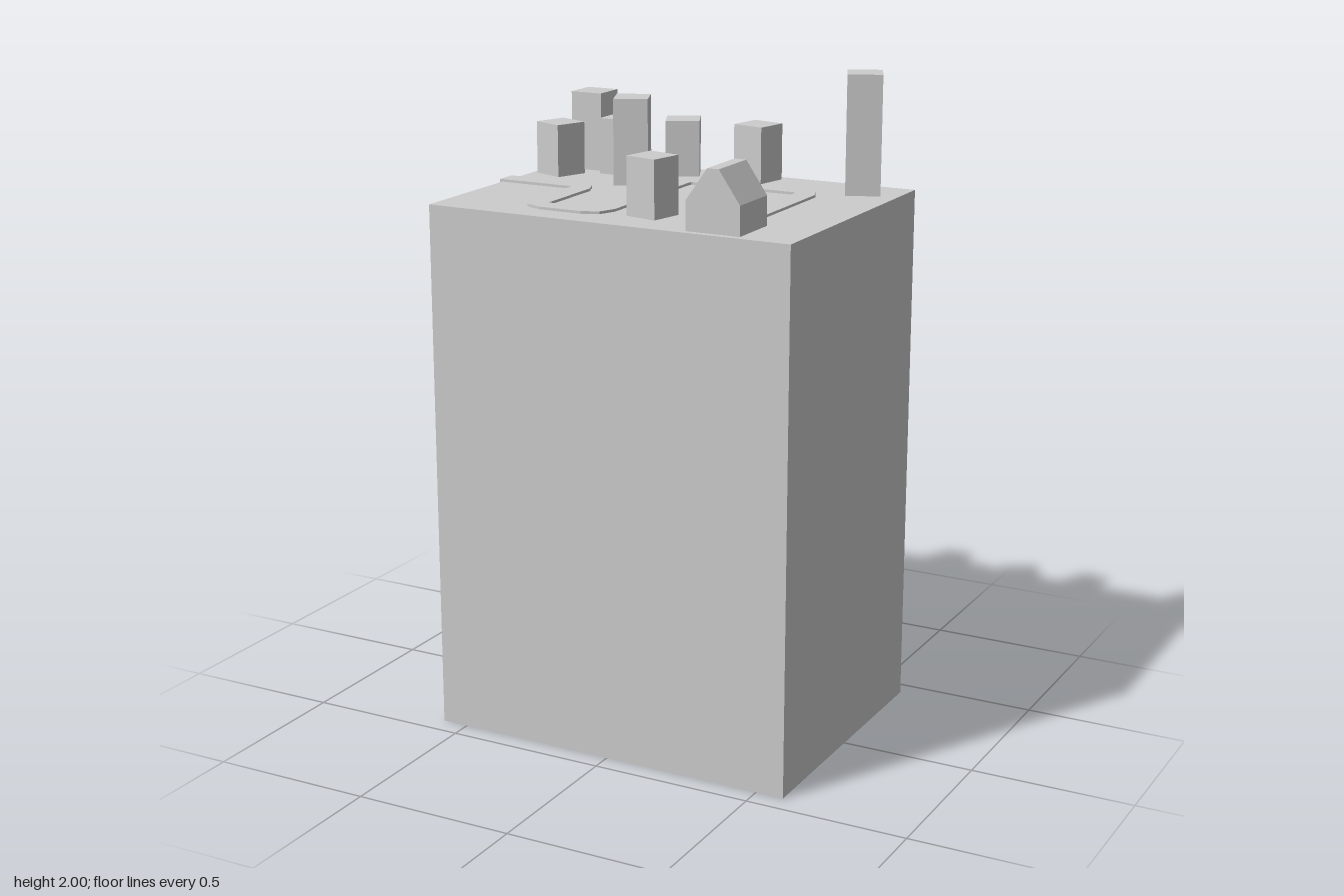
import * as THREE from 'three';

const GROUND = 1.638;

// Flat strip of constant width along a right-angled route, with rounded corners.
function roadShape(route, half, radius, steps) {
  const pts = route.map(([x, z]) => new THREE.Vector2(x, -z));
  const left = [], right = [];
  pts.forEach((p, i) => {
    const dIn = i > 0 ? p.clone().sub(pts[i - 1]).normalize() : null;
    const dOut = i < pts.length - 1 ? pts[i + 1].clone().sub(p).normalize() : null;
    if (!dIn || !dOut) {
      const d = dIn || dOut;
      const n = new THREE.Vector2(-d.y, d.x);
      left.push(p.clone().addScaledVector(n, half));
      right.push(p.clone().addScaledVector(n, -half));
      return;
    }
    const turn = Math.sign(dIn.cross(dOut));
    const c = p.clone().addScaledVector(dIn, -radius).addScaledVector(dOut, radius);
    for (let k = 0; k <= steps; k++) {
      const t = (k / steps) * Math.PI / 2;
      const u = dOut.clone().multiplyScalar(-Math.cos(t)).addScaledVector(dIn, Math.sin(t));
      left.push(c.clone().addScaledVector(u, radius - turn * half));
      right.push(c.clone().addScaledVector(u, radius + turn * half));
    }
  });
  return new THREE.Shape([...right, ...left.reverse()]);
}

export function createModel() {
  const group = new THREE.Group();
  const stone = new THREE.MeshStandardMaterial({ color: 0xcccccc });
  stone.name = 'light grey';

  const add = (name, geometry, x, y, z, turn = 0) => {
    const mesh = new THREE.Mesh(geometry, stone);
    mesh.name = name;
    mesh.position.set(x, y, z);
    mesh.rotation.y = THREE.MathUtils.degToRad(turn);
    group.add(mesh);
  };

  // Tall block carrying the little town
  add('block', new THREE.BoxGeometry(1.17, GROUND, 0.875), 0.002, GROUND / 2, -0.002);

  // Winding road, slightly raised and overhanging the left edge
  const route = [[-0.591, 0], [-0.302, 0], [-0.302, 0.313], [-0.083, 0.313],
    [-0.083, -0.23], [0.338, -0.23], [0.338, 0.234]];
  const road = new THREE.ExtrudeGeometry(roadShape(route, 0.033, 0.04, 2),
    { depth: 0.012, bevelEnabled: false });
  road.rotateX(-Math.PI / 2);
  add('road', road, 0, GROUND - 0.004, 0);

  // Square towers: x, z, top height, turn in degrees
  const towers = [
    [-0.457, -0.32, 1.882, 0],
    [-0.334, -0.281, 1.812, 0],
    [-0.499, -0.179, 1.8, -21],
    [-0.156, -0.349, 1.812, 25.5],
    [-0.223, -0.143, 1.903, 23],
    [0.096, -0.364, 1.812, -12],
    [0.07, 0.267, 1.812, -12.5],
    [0.466, -0.323, 2, 24],
  ];
  for (const [x, z, top, turn] of towers) {
    const h = top - GROUND;
    add('tower', new THREE.BoxGeometry(0.105, h, 0.105), x, GROUND + h / 2, z, turn);
  }

  // House with a flat-topped gable at the end of the road
  const gable = new THREE.Shape([[-0.084, 0], [0.084, 0], [0.084, 0.087], [0.018, 0.182],
    [-0.018, 0.182], [-0.084, 0.087]].map(([x, y]) => new THREE.Vector2(x, y)));
  add('house', new THREE.ExtrudeGeometry(gable, { depth: 0.169, bevelEnabled: false }),
    0.339, GROUND, 0.246);

  return group;
}
